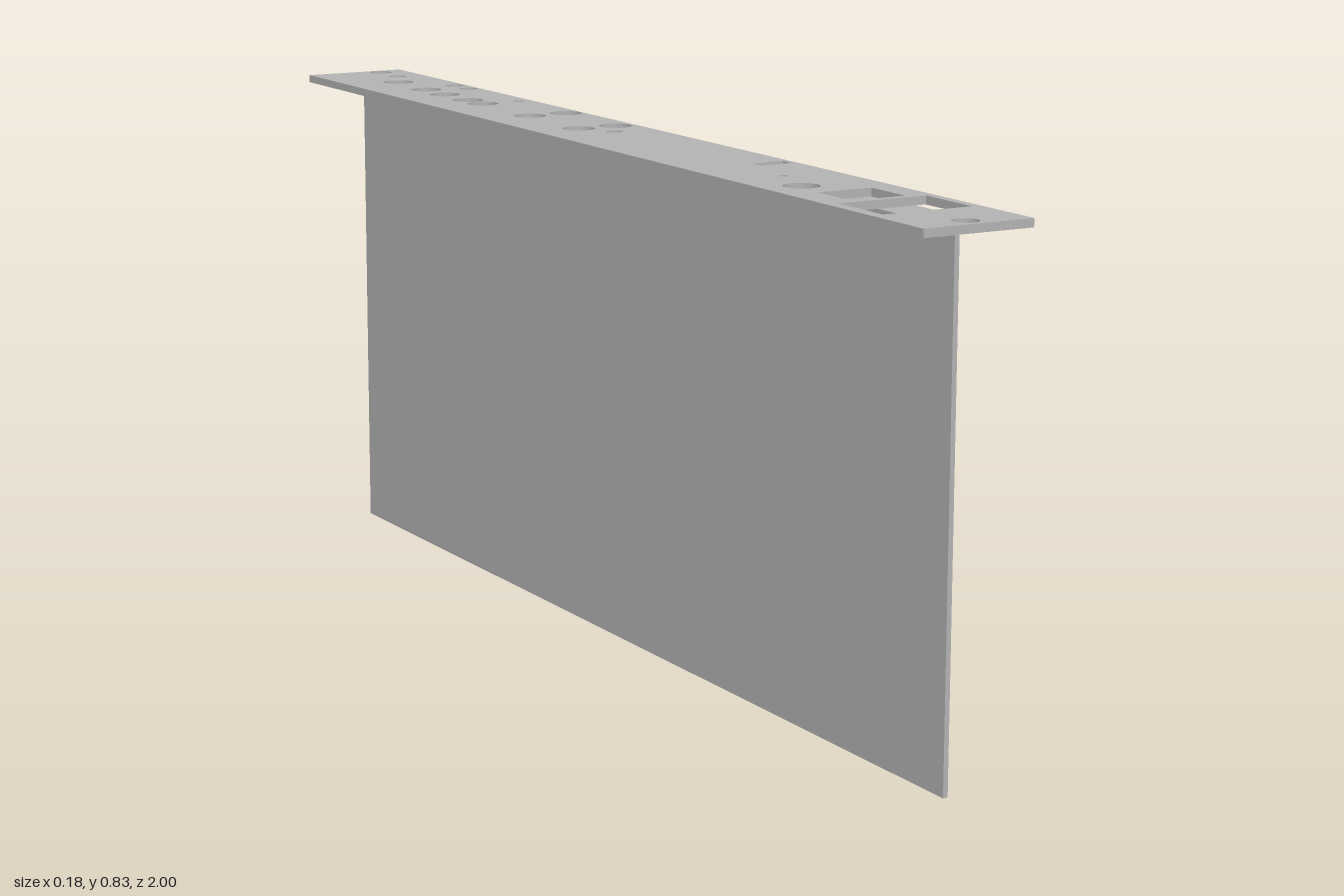
import * as THREE from 'three';

export function createModel() {
  const model = new THREE.Group();
  const grey = new THREE.MeshStandardMaterial({ color: 0xb2b2b2 });
  grey.name = 'plain grey';

  function add(name, geometry) {
    const mesh = new THREE.Mesh(geometry, grey);
    mesh.name = name;
    model.add(mesh);
  }

  // Box given by its limits on each axis
  function box(name, x0, x1, y0, y1, z0, z1) {
    const g = new THREE.BoxGeometry(x1 - x0, y1 - y0, z1 - z0);
    g.translate((x0 + x1) / 2, (y0 + y1) / 2, (z0 + z1) / 2);
    add(name, g);
  }

  // Rectangular outline in x and z
  function rect(Kind, x0, x1, z0, z1) {
    return new Kind([[x0, z0], [x1, z0], [x1, z1], [x0, z1]].map(([x, z]) => new THREE.Vector2(x, z)));
  }

  // Face plate with its cutouts
  const plate = rect(THREE.Shape, -0.092, 0.092, -1, 1);
  const roundHoles = [ // x, z, radius
    [0.042, -0.976, 0.02], [0.042, -0.904, 0.015], [0.005, -0.824, 0.027],
    [0, -0.7, 0.027], [0.071, -0.726, 0.016], [0.071, -0.673, 0.016],
    [-0.003, -0.62, 0.027], [-0.003, -0.53, 0.027], [-0.003, -0.473, 0.027],
    [0.067, -0.472, 0.01], [-0.006, -0.292, 0.027], [0.062, -0.292, 0.027],
    [-0.012, -0.111, 0.027], [0.057, -0.111, 0.027], [0.021, -0.05, 0.014],
    [0, 0.498, 0.007], [-0.029, 0.595, 0.028], [-0.003, 0.972, 0.02],
  ];
  for (const [x, z, r] of roundHoles) {
    plate.holes.push(new THREE.Path().absarc(x, z, r, 0, Math.PI * 2, true));
  }
  plate.holes.push(
    rect(THREE.Path, 0.028, 0.082, 0.368, 0.392), // slot
    rect(THREE.Path, -0.042, 0.05, 0.66, 0.747), // small window
    rect(THREE.Path, -0.072, 0.077, 0.76, 0.873), // large window
  );
  const plateGeometry = new THREE.ExtrudeGeometry(plate, { depth: 0.013, bevelEnabled: false, curveSegments: 16 });
  plateGeometry.rotateX(Math.PI / 2).translate(0, 0.835, 0);
  add('facePlate', plateGeometry);

  // Upright board and the strip that joins it to the plate
  box('board', -0.005, 0.003, 0, 0.822, -0.95, 0.95);
  box('mountingStrip', 0.003, 0.06, 0.813, 0.822, -0.95, 0.95);

  return model;
}
